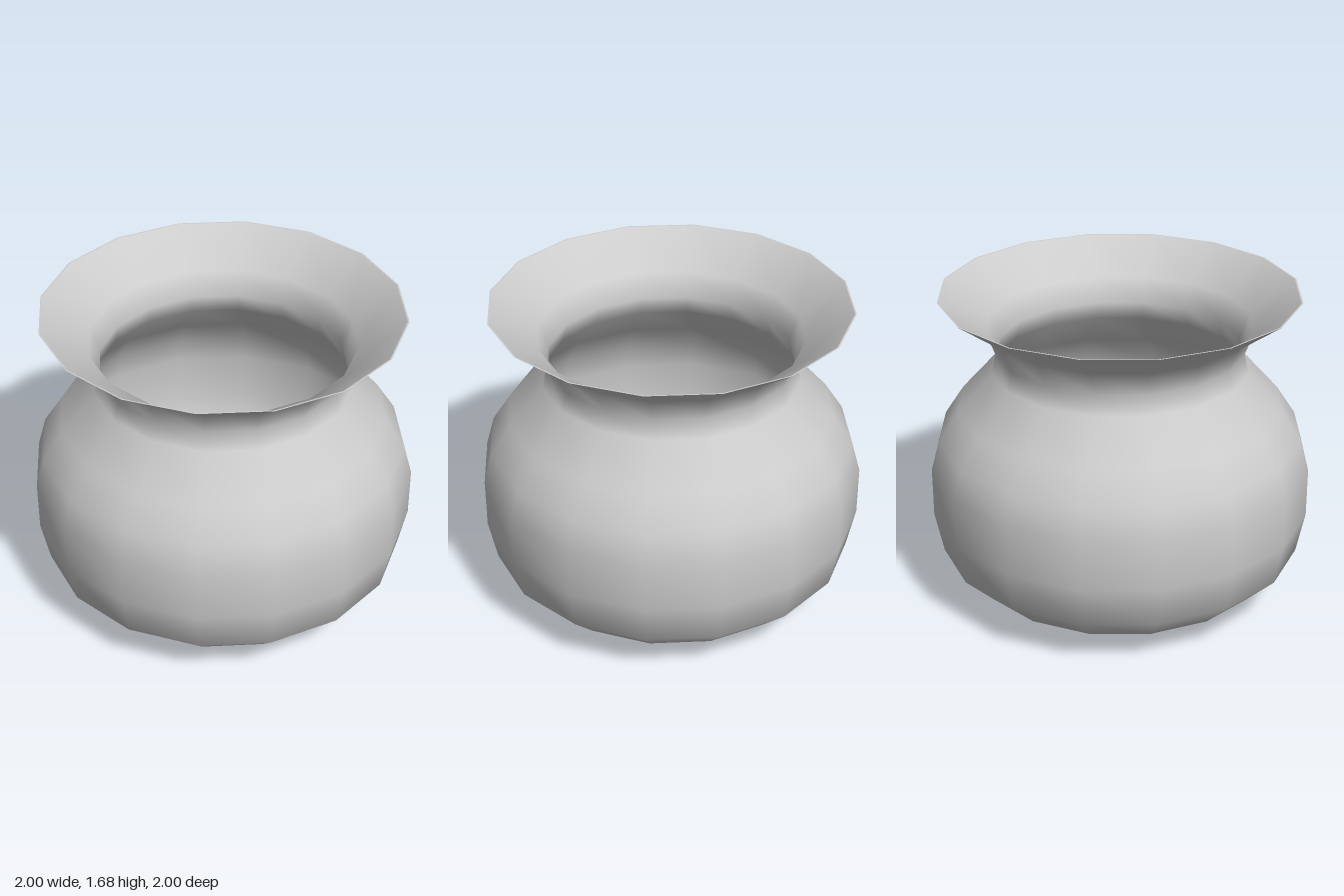
import * as THREE from 'three';

const SIDES = 16;

export function createModel() {
  const group = new THREE.Group();
  group.name = 'pot';
  const material = new THREE.MeshStandardMaterial({ color: 0xcccccc });

  // Revolve a profile of [radius, height] points around the y axis
  const addLathe = (name, profile) => {
    const points = profile.map(([r, y]) => new THREE.Vector2(r, y));
    const mesh = new THREE.Mesh(new THREE.LatheGeometry(points, SIDES), material);
    mesh.name = name;
    group.add(mesh);
  };

  // Outer skin: shallow base, round belly, pinched neck, flared lip
  const outer = [
    [0, 0], [0.4, 0.015], [0.61, 0.045], [0.7, 0.08], [0.8, 0.13], [0.955, 0.28],
    [1, 0.5], [1, 0.76], [0.955, 0.92], [0.85, 1.08], [0.67, 1.28],
    [0.645, 1.38], [0.695, 1.51], [0.93, 1.68],
  ];
  addLathe('outerWall', outer);

  // Inner skin: the same profile, slightly inset, running from lip to floor
  const inner = outer.map(([r, y], i) => [
    Math.max(0, r - 0.008),
    i < 5 ? y + 0.01 : y,
  ]).reverse();
  addLathe('innerWall', inner);

  // Thin flat edge closing the lip
  addLathe('rim', [outer[outer.length - 1], inner[0]]);

  return group;
}
